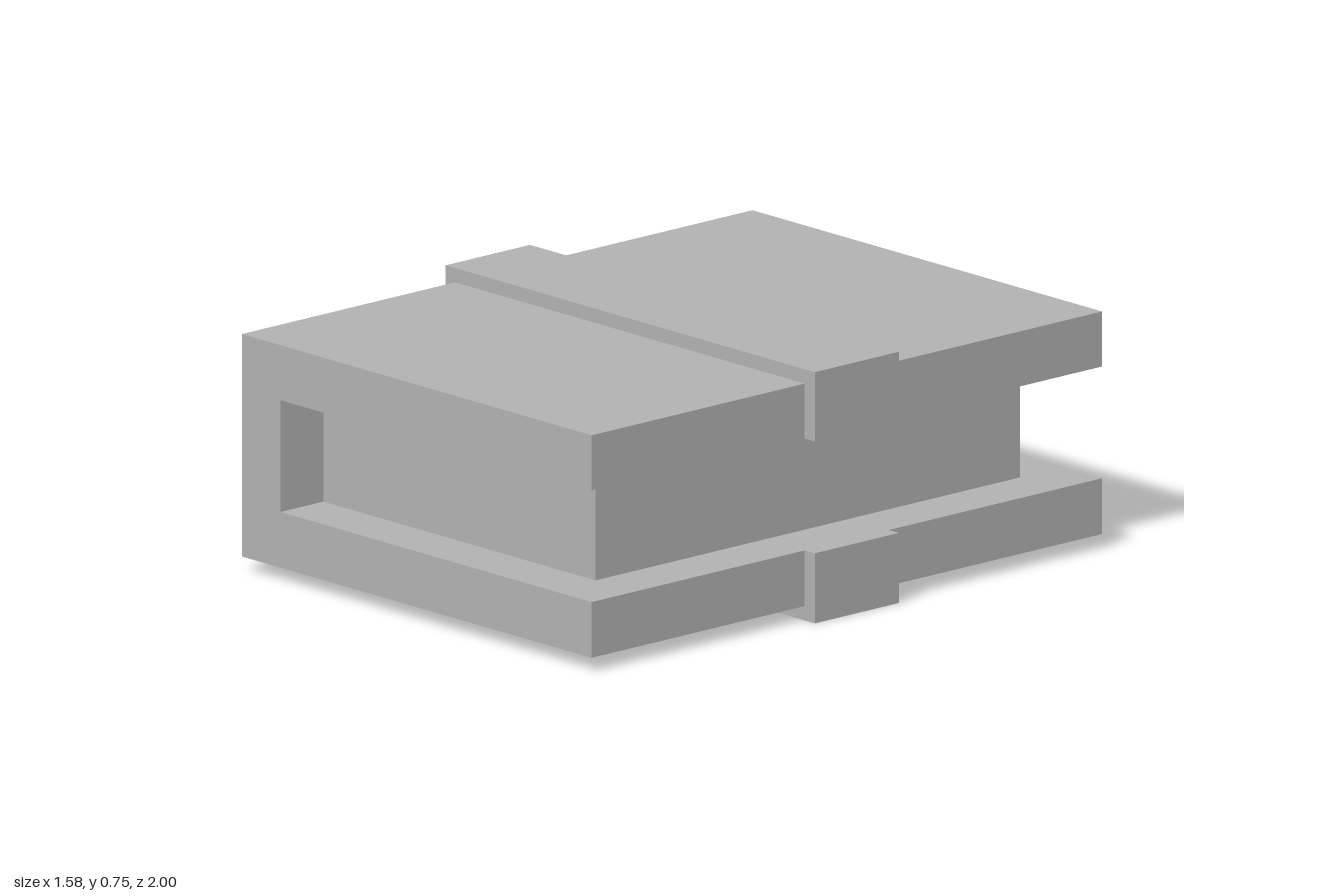
import * as THREE from 'three';

const SLOT = { back: -0.585, low: 0.21, high: 0.545 };

// C-shaped section, open towards +x, extruded from z0 to z1
function channel(name, x0, x1, y0, y1, z0, z1, material) {
  const outline = [
    [x0, y0], [x1, y0], [x1, SLOT.low], [SLOT.back, SLOT.low],
    [SLOT.back, SLOT.high], [x1, SLOT.high], [x1, y1], [x0, y1],
  ].map(([x, y]) => new THREE.Vector2(x, y));
  const geometry = new THREE.ExtrudeGeometry(new THREE.Shape(outline), { depth: z1 - z0, bevelEnabled: false });
  geometry.translate(0, 0, z0);
  const mesh = new THREE.Mesh(geometry, material);
  mesh.name = name;
  return mesh;
}

export function createModel() {
  const group = new THREE.Group();
  group.name = 'channelBlock';
  const grey = new THREE.MeshStandardMaterial({ color: 0xb2b2b2 });
  grey.name = 'grey';

  // Casing in front of and behind the band
  const band = 0.165;
  group.add(channel('frontCasing', -0.75, 0.747, 0.043, 0.71, band, 1, grey));
  group.add(channel('backCasing', -0.75, 0.747, 0.043, 0.71, -1, -band, grey));

  // Raised band around the middle
  group.add(channel('middleBand', -0.79, 0.79, 0, 0.753, -band, band, grey));

  // Solid core filling the slot, set back from the open edges
  const coreEnd = 0.58;
  const core = new THREE.Mesh(
    new THREE.BoxGeometry(coreEnd - SLOT.back, SLOT.high - SLOT.low, 1.664), grey);
  core.position.set((coreEnd + SLOT.back) / 2, (SLOT.low + SLOT.high) / 2, 0);
  core.name = 'core';
  group.add(core);

  return group;
}
